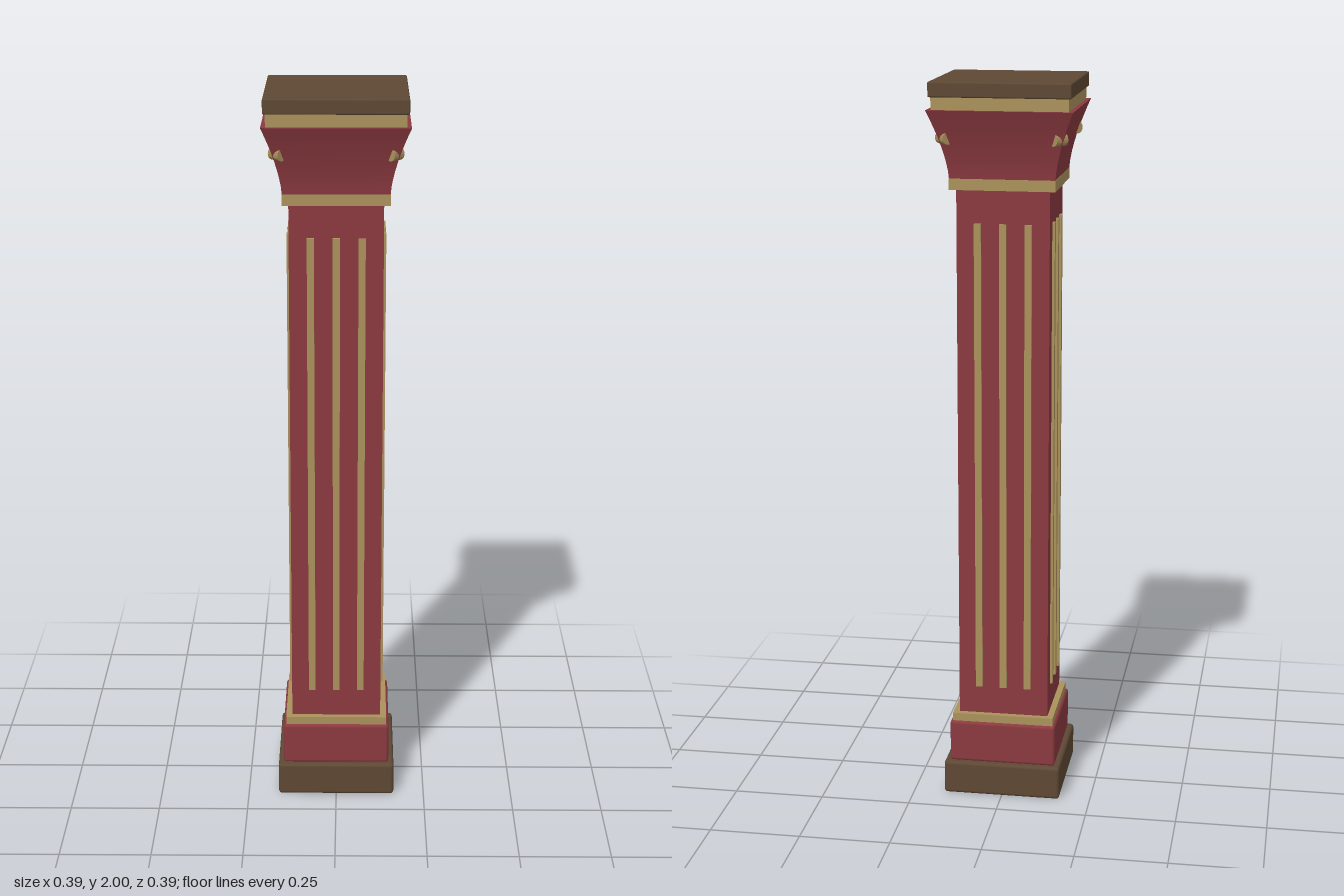
import * as THREE from 'three';
import { RoundedBoxGeometry } from 'three/addons/geometries/RoundedBoxGeometry.js';
import { toCreasedNormals } from 'three/addons/utils/BufferGeometryUtils.js';

const red = new THREE.MeshStandardMaterial({ color: 0x8b3a40 });
const gold = new THREE.MeshStandardMaterial({ color: 0xab925c });
const brown = new THREE.MeshStandardMaterial({ color: 0x5e4834 });

export function createModel() {
  const column = new THREE.Group();
  column.name = 'column';

  const add = (name, geometry, material, parent = column) => {
    const mesh = new THREE.Mesh(geometry, material);
    mesh.name = name;
    parent.add(mesh);
    return mesh;
  };

  // Square slab of half-width h between two heights, optionally with eased edges
  const slab = (name, h, y0, y1, material, bevel = 0) => {
    const geometry = bevel
      ? new RoundedBoxGeometry(2 * h, y1 - y0, 2 * h, 2, bevel)
      : new THREE.BoxGeometry(2 * h, y1 - y0, 2 * h);
    add(name, geometry, material).position.y = (y0 + y1) / 2;
  };

  slab('plinth', 0.164, 0, 0.095, brown, 0.009);
  slab('base', 0.149, 0.093, 0.213, red, 0.009);
  slab('lowerBand', 0.142, 0.205, 0.235, gold);
  slab('shaft', 0.125, 0.23, 1.72, red);
  slab('neckBand', 0.142, 1.715, 1.745, gold);
  slab('upperBand', 0.181, 1.92, 1.962, gold);
  slab('topSlab', 0.188, 1.96, 2, brown, 0.004);

  // Flared square capital: a four-sided tube widened along a concave curve
  const y0 = 1.743, y1 = 1.927;
  const capital = new THREE.CylinderGeometry(Math.SQRT2, Math.SQRT2, y1 - y0, 4, 8);
  capital.rotateY(Math.PI / 4);
  capital.translate(0, (y0 + y1) / 2, 0);
  const p = capital.attributes.position;
  for (let i = 0; i < p.count; i++) {
    const t = Math.max(0, (p.getY(i) - y0) / (y1 - y0));
    const h = 0.141 + 0.052 * Math.pow(t, 1.5);
    p.setX(i, p.getX(i) * h);
    p.setZ(i, p.getZ(i) * h);
  }
  add('capital', toCreasedNormals(capital, 0.5), red);

  // Four sides: three raised strips on each face, one scroll on each corner
  const strip = new THREE.BoxGeometry(0.019, 1.31, 0.014);
  const scroll = toCreasedNormals(new THREE.CylinderGeometry(0.017, 0.017, 0.036, 16), 0.7);
  scroll.rotateZ(Math.PI / 2);
  for (let side = 0; side < 4; side++) {
    const face = new THREE.Group();
    face.name = 'faceTrim';
    face.rotation.y = side * Math.PI / 2;
    column.add(face);
    for (const x of [-0.068, 0, 0.068]) {
      add('strip', strip, gold, face).position.set(x, 0.97, 0.125);
    }
    const knob = add('cornerScroll', scroll, gold, face);
    knob.position.set(0.151, 1.853, 0.151);
    knob.rotation.y = Math.PI / 4;
  }
  return column;
}
